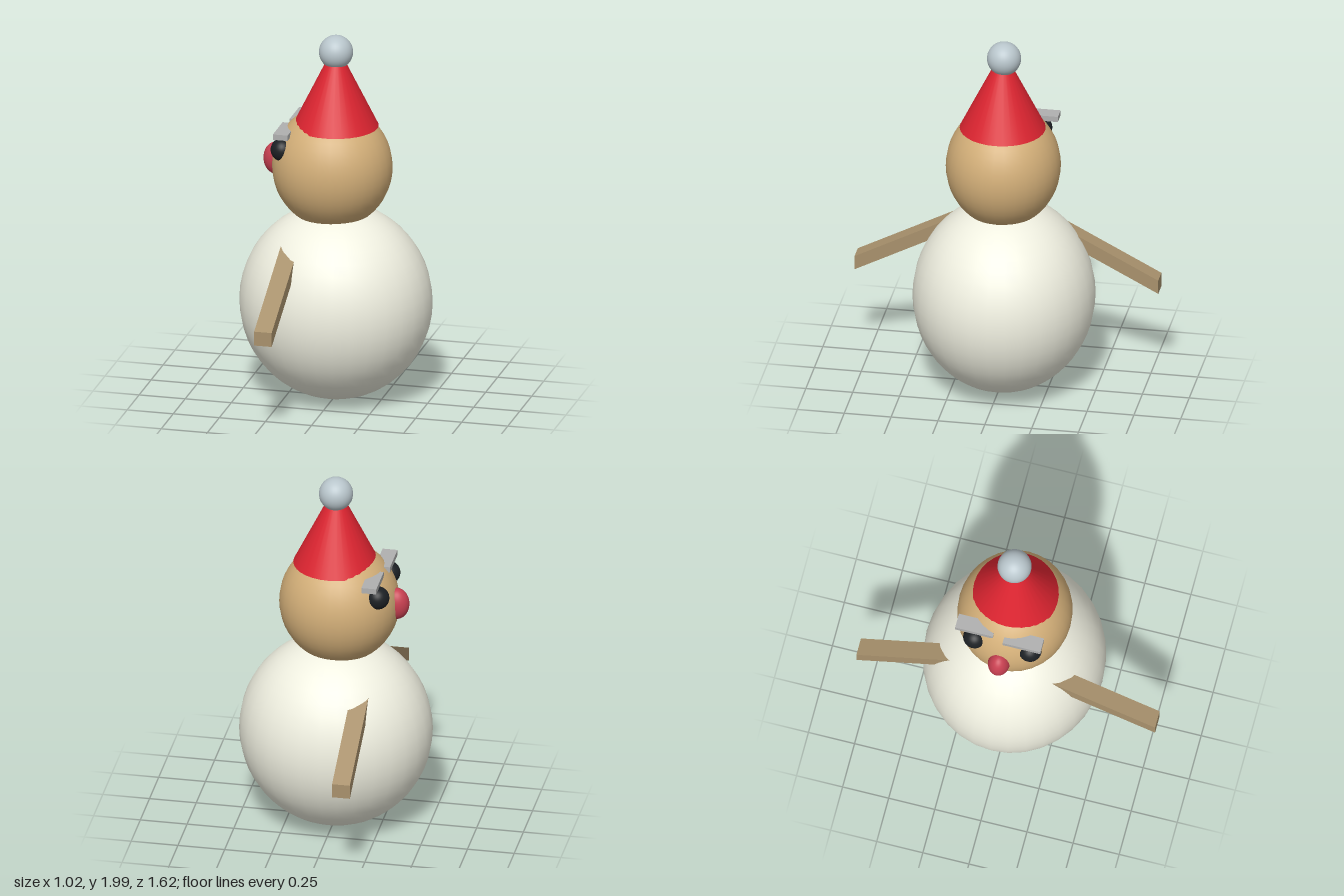
import * as THREE from 'three';

const mat = (color) => new THREE.MeshStandardMaterial({ color });

export function createModel() {
  const group = new THREE.Group();
  group.name = 'snowman';

  const add = (name, geometry, material, x, y, z) => {
    const mesh = new THREE.Mesh(geometry, material);
    mesh.name = name;
    mesh.position.set(x, y, z);
    group.add(mesh);
    return mesh;
  };
  const ball = (name, material, [x, y, z], [rx, ry, rz]) => {
    const geometry = new THREE.SphereGeometry(1, 32, 24).scale(rx, ry, rz);
    return add(name, geometry, material, x, y, z);
  };

  const wood = mat(0xa8916c);
  const eyeBlack = mat(0x1c2024);
  const browGrey = mat(0xb0b0b0);
  const midZ = -0.012;

  // Body and head; the face looks toward -x
  ball('body', mat(0xefefe0), [0, 0.535, midZ], [0.51, 0.527, 0.48]);
  ball('head', mat(0xd2ae78), [-0.018, 1.28, -0.005], [0.318, 0.33, 0.302]);
  ball('nose', mat(0xc63f50), [-0.325, 1.297, midZ], [0.067, 0.087, 0.058]);

  // Hat with its bobble
  add('hat', new THREE.CylinderGeometry(0.055, 0.226, 0.345, 32), mat(0xdc2430), 0, 1.68, -0.005);
  ball('hatBobble', mat(0xb9c6cc), [0, 1.912, -0.012], [0.09, 0.09, 0.09]);

  // Eyebrows, one set slightly further forward than the other
  add('rightBrow', new THREE.BoxGeometry(0.08, 0.03, 0.205), browGrey, -0.225, 1.485, -0.163);
  add('leftBrow', new THREE.BoxGeometry(0.08, 0.03, 0.205), browGrey, -0.247, 1.485, 0.1);

  for (const side of [-1, 1]) {
    const label = side < 0 ? 'right' : 'left';
    ball(label + 'Eye', eyeBlack, [-0.253, 1.397, midZ + side * 0.15], [0.061, 0.061, 0.061]);

    // Arm: a square bar sheared so that it drops outward with upright ends
    const arm = new THREE.BoxGeometry(0.095, 0.077, 0.62);
    const p = arm.attributes.position;
    for (let i = 0; i < p.count; i++) {
      p.setY(i, p.getY(i) - side * p.getZ(i) * 0.52);
    }
    arm.computeVertexNormals();
    add(label + 'Arm', arm, wood, -0.183, 0.735, side * 0.5);
  }

  return group;
}
